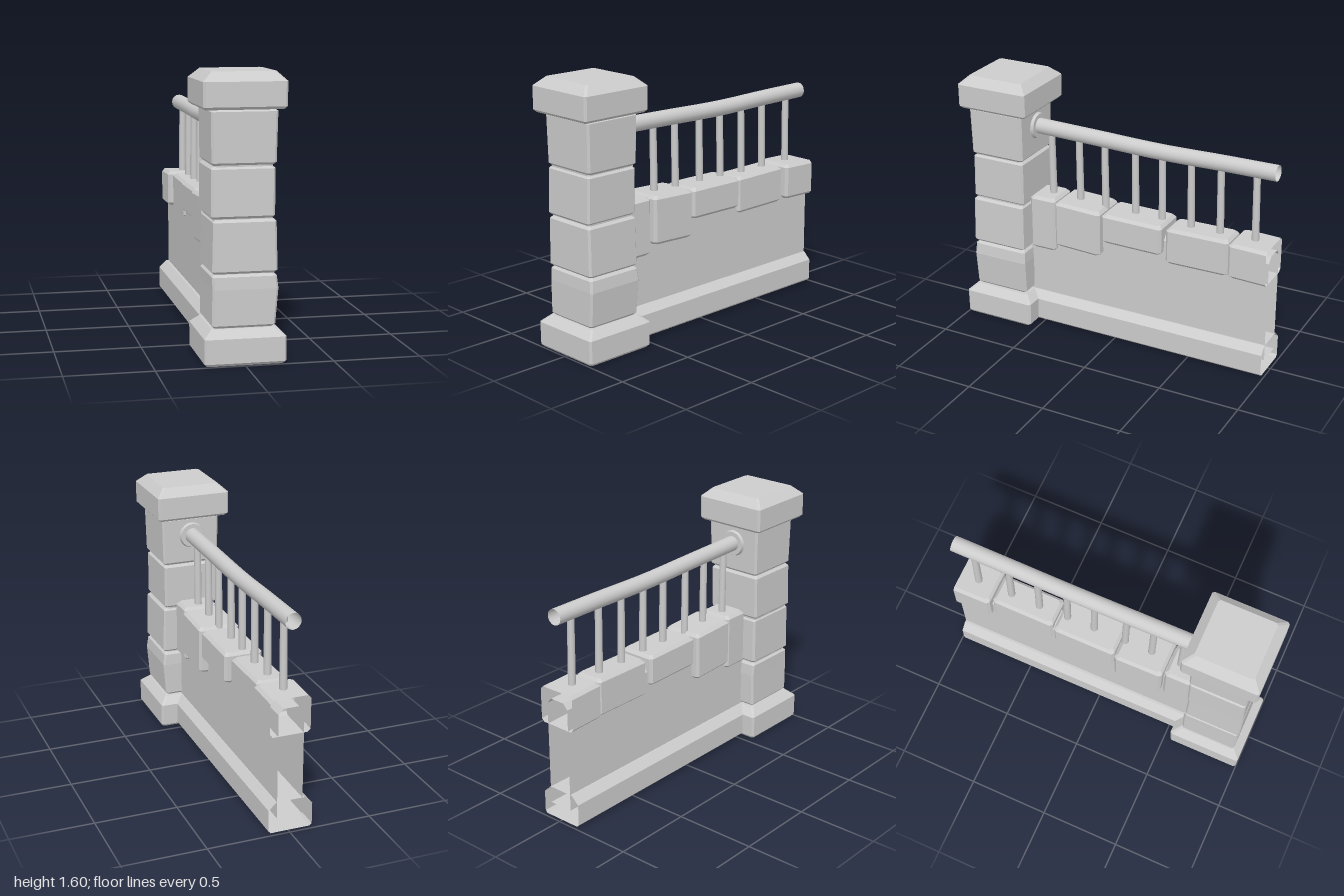
import * as THREE from 'three';

const END = -0.985; // plane where the wall section is cut open

export function createModel() {
  const model = new THREE.Group();
  model.name = 'balustradeWall';
  const stone = new THREE.MeshStandardMaterial({ color: 0xcccccc, side: THREE.DoubleSide });
  stone.name = 'greyStone';

  const add = (geometry, name, parent = model) => {
    const mesh = new THREE.Mesh(geometry, stone);
    mesh.name = name;
    parent.add(mesh);
    return mesh;
  };
  const group = (name) => {
    const g = new THREE.Group();
    g.name = name;
    model.add(g);
    return g;
  };

  // Faceted block lofted through rings [y, x0, x1, z0, z1] with cut corners;
  // anything past the END plane is cut away and left open.
  function loft(rings, cut = 0.012, slope = 0) {
    const loops = rings.map(([y, x0, x1, z0, z1]) => [
      [x1, z0 + cut], [x1, z1 - cut], [x1 - cut, z1], [x0 + cut, z1],
      [x0, z1 - cut], [x0, z0 + cut], [x0 + cut, z0], [x1 - cut, z0],
    ].map(([x, z]) => {
      const zc = Math.max(z, END);
      return [x, y + slope * (zc - (z0 + z1) / 2), zc];
    }));
    const pos = [];
    const tri = (...p) => {
      if (!p.every((v) => v[2] === END)) p.forEach((v) => pos.push(...v));
    };
    for (let k = 0; k + 1 < loops.length; k++) {
      for (let i = 0; i < 8; i++) {
        const j = (i + 1) % 8, a = loops[k], b = loops[k + 1];
        tri(a[i], b[i], b[j]);
        tri(a[i], b[j], a[j]);
      }
    }
    const bottom = loops[0], top = loops[loops.length - 1];
    for (let i = 1; i < 7; i++) {
      tri(bottom[0], bottom[i], bottom[i + 1]);
      tri(top[0], top[i + 1], top[i]);
    }
    const g = new THREE.BufferGeometry();
    g.setAttribute('position', new THREE.Float32BufferAttribute(pos, 3));
    g.computeVertexNormals();
    return g;
  }

  const inset = ([y, x0, x1, z0, z1], d, y2 = y) => [y2, x0 + d, x1 - d, z0 + d, z1 - d];

  // Adds a small bevel at the bottom and top of a stack of rings
  function bevelled(rings, b = 0.014) {
    const lo = rings[0], hi = rings[rings.length - 1];
    const body = rings.map((r) => [...r]);
    body[0][0] += b;
    body[body.length - 1][0] -= b;
    return [inset(lo, b), ...body, inset(hi, b)];
  }

  // Pillar: foot, four uneven blocks on a core, and a chamfered cap
  const pillar = group('pillar');
  const foot = [0.02, -0.228, 0.232, 0.54, 0.998];
  add(loft([inset(foot, 0.014, 0.004), foot, [0.158, -0.228, 0.232, 0.537, 1],
    [0.203, -0.18, 0.185, 0.588, 0.95]]), 'pillarFoot', pillar);
  add(loft([[0.18, -0.163, 0.165, 0.61, 0.932], [1.42, -0.163, 0.165, 0.61, 0.932]]), 'pillarCore', pillar);
  const blocks = [
    [[0.205, -0.176, 0.18, 0.593, 0.95], [0.42, -0.174, 0.196, 0.59, 0.953], [0.503, -0.175, 0.187, 0.595, 0.948]],
    [[0.507, -0.176, 0.19, 0.598, 0.955], [0.805, -0.17, 0.183, 0.6, 0.952]],
    [[0.81, -0.182, 0.175, 0.597, 0.95], [1.095, -0.18, 0.177, 0.594, 0.943]],
    [[1.1, -0.178, 0.183, 0.59, 0.945], [1.405, -0.182, 0.189, 0.587, 0.95]],
  ];
  blocks.forEach((rings, i) => add(loft(bevelled(rings)), 'pillarBlock' + (i + 1), pillar));
  const cap = [1.42, -0.234, 0.228, 0.537, 1];
  add(loft([inset(cap, 0.014, 1.405), cap, [1.555, -0.234, 0.23, 0.537, 1],
    [1.607, -0.178, 0.178, 0.592, 0.945]]), 'pillarCap', pillar);

  // Wall body and chamfered plinth, open at the far end
  const far = END - 0.1;
  add(loft([[0.1, -0.08, 0.075, far, 0.62], [0.74, -0.08, 0.075, far, 0.62],
    [0.775, -0.05, 0.045, far, 0.62]]), 'wallBody');
  add(loft([[0.012, -0.128, 0.112, far, 0.6], [0.026, -0.142, 0.126, far, 0.6],
    [0.156, -0.142, 0.126, far, 0.6], [0.202, -0.095, 0.08, far, 0.6]]), 'wallPlinth');

  // Coping stones: y0, y1, x0, x1, z0, z1, slope
  const coping = group('coping');
  [
    [0.51, 0.862, -0.105, 0.11, 0.413, 0.588, 0],
    [0.56, 0.855, -0.128, 0.13, 0.094, 0.404, 0.04],
    [0.655, 0.845, -0.112, 0.125, -0.315, 0.085, 0.01],
    [0.602, 0.834, -0.092, 0.097, -0.735, -0.332, -0.01],
    [0.612, 0.835, -0.12, 0.125, far, -0.745, 0.03],
  ].forEach(([y0, y1, x0, x1, z0, z1, slope], i) => {
    const rings = bevelled([[y0, x0, x1, z0, z1], [y1, x0, x1, z0, z1]], 0.018);
    add(loft(rings, 0.016, slope), 'copingStone' + (i + 1), coping);
  });

  // Slightly sagging handrail with a collar at the pillar
  const path = new THREE.CatmullRomCurve3([[1.288, 0.6], [1.28, 0.2], [1.27, -0.25], [1.277, -0.65], [1.28, END]]
    .map(([y, z]) => new THREE.Vector3(-0.003, y, z)));
  add(new THREE.TubeGeometry(path, 16, 0.048, 16), 'handrail');
  const collar = add(new THREE.CylinderGeometry(0.075, 0.085, 0.025, 20), 'railCollar');
  collar.rotation.x = -Math.PI / 2;
  collar.position.set(-0.003, 1.287, 0.583);

  // Thin balusters, each leaning a little
  const balusters = group('balusters');
  [0.482, 0.292, 0.118, -0.086, -0.264, -0.452, -0.64, -0.862].forEach((z, i) => {
    const post = add(new THREE.CylinderGeometry(0.021, 0.023, 0.46, 10, 1, true), 'baluster' + (i + 1), balusters);
    post.position.set(-0.003, 1.03, z);
    post.rotation.x = 0.015;
  });

  return model;
}
